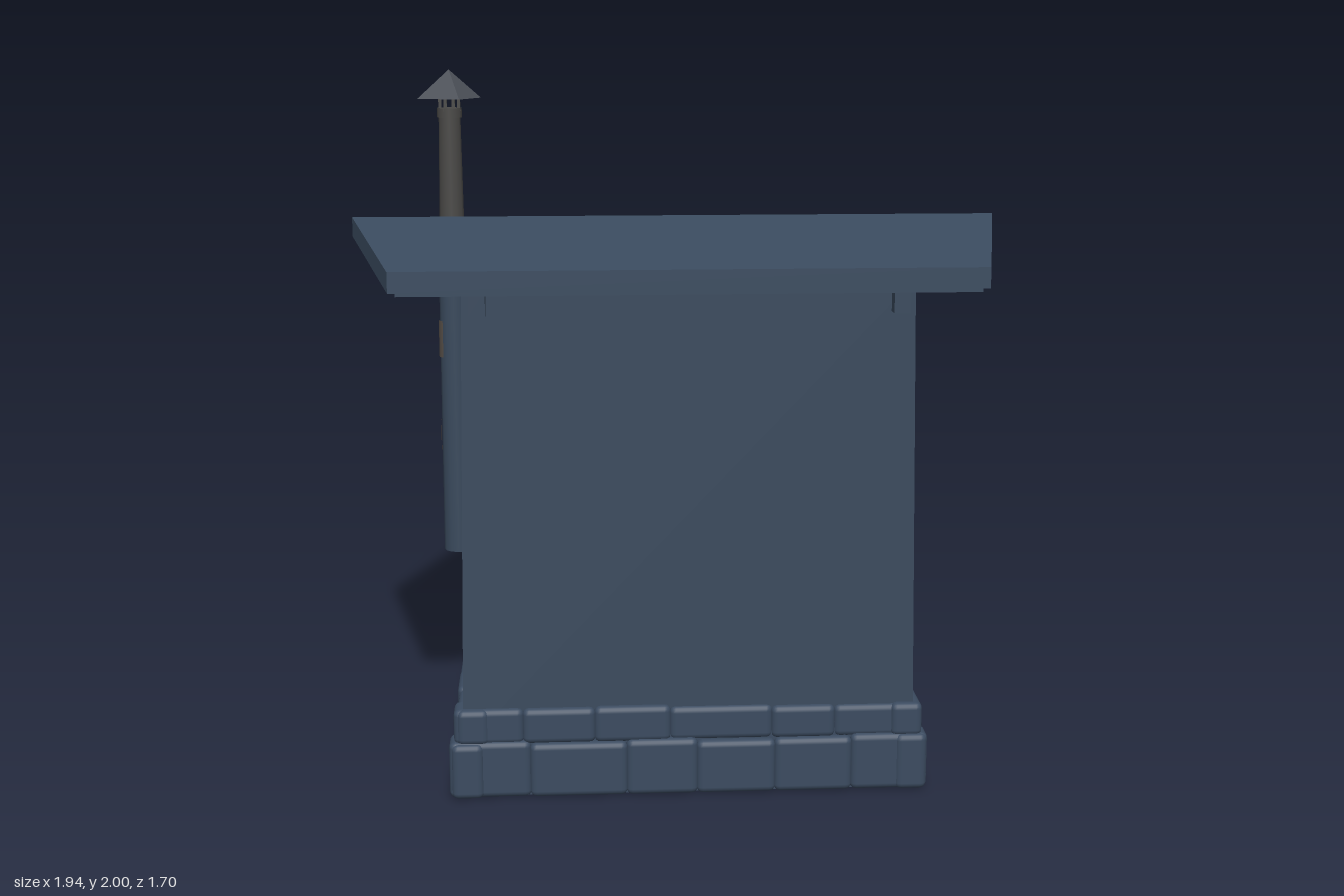
import * as THREE from 'three';
import { RoundedBoxGeometry } from 'three/addons/geometries/RoundedBoxGeometry.js';

const mat = (name, color, side = THREE.FrontSide) => {
  const m = new THREE.MeshStandardMaterial({ color, side });
  m.name = name;
  return m;
};

export function createModel() {
  const model = new THREE.Group();
  model.name = 'shed';

  const M = {
    wall: mat('slate boards', 0x3a4a5d),
    roof: mat('slate roof', 0x3b4c60),
    stone: mat('slate stone', 0x3b4b60),
    gap: mat('dark gap', 0x1d2631),
    patch: mat('worn brown', 0x585049),
    pipe: mat('sooty metal', 0x4a4947, THREE.DoubleSide),
    cap: mat('cap metal', 0x4b4f57, THREE.DoubleSide),
  };

  let seed = 7;
  const rnd = () => (seed = (seed * 16807) % 2147483647) / 2147483647;

  const add = (name, geo, material, x = 0, y = 0, z = 0, parent = model) => {
    const mesh = new THREE.Mesh(geo, material);
    mesh.name = name;
    mesh.position.set(x, y, z);
    parent.add(mesh);
    return mesh;
  };
  const box = (name, m, w, h, d, x, y, z, parent) =>
    add(name, new THREE.BoxGeometry(w, h, d), m, x, y, z, parent);

  // The side walls lean in slightly towards the top
  const wallX = (y) => 0.637 - 0.016 * (y - 0.25);

  // Walls: gable profile with the window opening, extruded across the width
  const profile = new THREE.Shape([
    [0.79, 0.15], [0.775, 1.47], [0.12, 1.54], [-0.725, 1.29], [-0.745, 0.15],
  ].map(([z, y]) => new THREE.Vector2(z, y)));
  const win = { z0: 0.16, z1: 0.46, y0: 0.87, y1: 1.14 };
  const opening = new THREE.Path([
    [win.z0, win.y0], [win.z0, win.y1], [win.z1, win.y1], [win.z1, win.y0],
  ].map(([z, y]) => new THREE.Vector2(z, y)));
  profile.holes.push(opening);
  const walls = new THREE.ExtrudeGeometry(profile, { depth: 2, bevelEnabled: false });
  walls.rotateY(-Math.PI / 2).translate(1, 0, 0);
  const wp = walls.attributes.position;
  for (let i = 0; i < wp.count; i++) wp.setX(i, wp.getX(i) * wallX(wp.getY(i)));
  walls.computeVertexNormals();
  add('walls', walls, M.wall);

  // Windows on both sides: pane, crooked frame and glazing bars
  const zc = (win.z0 + win.z1) / 2, yc = (win.y0 + win.y1) / 2;
  for (const s of [1, -1]) {
    const g = new THREE.Group();
    g.name = s > 0 ? 'leftWindow' : 'rightWindow';
    model.add(g);
    const x = s * wallX(yc);
    box('pane', M.wall, 0.01, 0.29, 0.32, x - s * 0.035, yc, zc, g);
    box('uprightBar', M.wall, 0.018, 0.28, 0.016, x - s * 0.026, yc, zc + 0.01, g);
    for (const e of [1, -1]) {
      box('frameRail', M.wall, 0.024, 0.028, 0.35, x, yc + e * 0.149, zc, g);
      box('frameStile', M.wall, 0.022, 0.31, 0.026, x, yc, zc + e * 0.163, g)
        .rotation.x = e > 0 ? 0 : 0.04;
    }
  }

  // Door with its surround, shadow gap and handle
  const door = new THREE.Group();
  door.name = 'door';
  model.add(door);
  const dx = wallX(0.7);
  box('doorGap', M.gap, 0.012, 1.02, 0.43, dx + 0.004, 0.71, -0.245, door);
  box('doorLeaf', M.wall, 0.03, 0.995, 0.405, dx, 0.71, -0.248, door);
  box('frontJamb', M.wall, 0.03, 1.06, 0.045, dx + 0.003, 0.74, -0.014, door);
  box('backJamb', M.wall, 0.03, 1.06, 0.07, dx + 0.003, 0.74, -0.497, door);
  box('lintel', M.wall, 0.03, 0.05, 0.53, wallX(1.24) + 0.004, 1.245, -0.265, door);
  box('handlePlate', M.gap, 0.008, 0.13, 0.022, dx + 0.017, 0.73, -0.417, door);
  box('handleGrip', M.wall, 0.01, 0.11, 0.014, dx + 0.03, 0.73, -0.417, door);
  for (const y of [0.685, 0.775])
    box('handleMount', M.wall, 0.022, 0.012, 0.014, dx + 0.022, y, -0.417, door);

  // Roof: a slab widest at the ridge, narrowing to both eaves
  const roofTop = (z) => z > 0.12
    ? 1.575 - (z - 0.12) * 0.093
    : 1.575 - (0.12 - z) * 0.294;
  const roofHalf = (z) => z > 0.12
    ? 0.972 - (z - 0.12) * 0.225
    : 0.972 - (0.12 - z) * 0.28;
  const roofGeo = new THREE.BoxGeometry(2, 1, 2, 1, 1, 2);
  const rp = roofGeo.attributes.position;
  for (let i = 0; i < rp.count; i++) {
    const z = [-0.85, 0.12, 0.845][Math.round(rp.getZ(i)) + 1];
    rp.setXYZ(i, rp.getX(i) * roofHalf(z), roofTop(z) - (rp.getY(i) < 0 ? 0.058 : 0), z);
  }
  const roofFlat = roofGeo.toNonIndexed();
  roofFlat.computeVertexNormals();
  add('roof', roofFlat, M.roof);

  // Fascia boards along both eaves
  box('frontFascia', M.roof, 1.58, 0.06, 0.03, 0, 1.469, 0.822);
  box('backFascia', M.roof, 1.39, 0.05, 0.025, 0, 1.255, -0.83);

  // Eave brackets at the four corners
  for (const s of [1, -1]) {
    box('frontBracket', M.wall, 0.045, 0.07, 0.06, s * 0.575, 1.415, 0.79);
    box('backBracket', M.wall, 0.05, 0.06, 0.11, s * 0.575, 1.235, -0.77);
  }

  // Foundation: solid core faced with two courses of uneven stones
  const base = new THREE.Group();
  base.name = 'foundation';
  model.add(base);
  box('core', M.stone, 1.29, 0.2, 1.55, 0, 0.105, 0.02, base);
  const course = (len, y0, height, place) => {
    const n = Math.round(len / 0.21);
    const cuts = [0];
    for (let i = 1; i < n; i++) cuts.push(((i + (rnd() - 0.5) * 0.5) / n) * len);
    cuts.push(len);
    for (let i = 0; i < n; i++) {
      const w = cuts[i + 1] - cuts[i];
      const mid = (cuts[i] + cuts[i + 1]) / 2 - len / 2;
      place(w + 0.004, mid, y0, height(mid) + (rnd() - 0.5) * 0.012, rnd() * 0.008);
    }
  };
  const rows = [
    { y: 0.005, hx: 0.676, zf: 0.822, zb: -0.78, h: 0.16 },
    { y: 0.16, hx: 0.662, zf: 0.81, zb: -0.768, h: 0.1 },
  ];
  for (const r of rows) {
    const t = 0.09, cz = (r.zf + r.zb) / 2;
    const stone = (w, h, d, x, y, z) =>
      add('stone', new RoundedBoxGeometry(w, h, d, 2, 0.018), M.stone, x, y + h / 2, z, base);
    for (const s of [1, -1]) {
      course(r.zf - r.zb, r.y, (m) => (s > 0 && r.y > 0.1 && m + cz < 0 ? 0.055 : r.h),
        (w, m, y, h, j) => stone(t, h, w, s * (r.hx - t / 2 - j), y, m + cz));
      course(2 * r.hx, r.y, () => r.h,
        (w, m, y, h, j) => stone(w, h, t, m, y, s > 0 ? r.zf - t / 2 - j : r.zb + t / 2 + j));
    }
  }

  // Worn patches on the door side: z, y, length, height, tilt
  for (const [z, y, l, h, a] of [[0.195, 0.54, 0.19, 0.055, 0.08], [-0.18, 1.305, 0.2, 0.055, 0.1]])
    box('wallPatch', M.patch, 0.008, h, l, wallX(y) + 0.002, y, z).rotation.x = -a;
  for (const [z, y, l, h, x] of [
    [0.59, 0.065, 0.2, 0.06, 0.673], [0.1, 0.07, 0.06, 0.07, 0.673],
    [-0.56, 0.08, 0.07, 0.09, 0.673], [0.435, 0.185, 0.13, 0.05, 0.659], [0.2, 0.205, 0.05, 0.04, 0.659],
  ]) {
    const disc = new THREE.CylinderGeometry(0.5, 0.5, 0.009, 8);
    disc.rotateZ(Math.PI / 2).scale(1, h * 1.05, l * 1.05);
    add('stonePatch', disc, M.patch, x, y, z);
  }
  // Worn patches on the back wall
  for (const [x, y] of [[0.43, 0.92], [-0.12, 0.4]])
    box('backPatch', M.patch, 0.25, 0.06, 0.008, x, y, -0.745 + (y - 0.15) * 0.0175)
      .rotation.z = 0.06;

  // Stove pipe: slate lower run outside the wall, sooty flue above the roof
  const px = -0.695, pz = -0.26;
  add('lowerPipe', new THREE.CylinderGeometry(0.045, 0.048, 1.0, 12), M.wall, px, 0.93, pz);
  add('flue', new THREE.CylinderGeometry(0.034, 0.041, 0.5, 12), M.pipe, px, 1.63, pz);
  add('flueCollar', new THREE.CylinderGeometry(0.039, 0.039, 0.03, 12), M.pipe, px, 1.865, pz);
  // Rust on the lower pipe, as curved plates: height, length, start angle
  for (const [y, len, a] of [[0.82, 0.1, 3.8], [1.14, 0.12, 4.3], [0.64, 0.14, 3.6]])
    add('pipePatch', new THREE.CylinderGeometry(0.05, 0.05, len, 6, 1, true, a, 1.2),
      M.patch, px, y, pz);
  // Four-sided rain cap on short struts
  const cap = new THREE.ConeGeometry(0.105, 0.09, 4).toNonIndexed();
  cap.computeVertexNormals();
  add('rainCap', cap, M.cap, px, 1.955, pz - 0.005).rotation.y = 0.35;
  for (let i = 0; i < 4; i++) {
    const a = i * Math.PI / 2 + 0.35;
    box('capStrut', M.pipe, 0.01, 0.05, 0.01,
      px + Math.cos(a) * 0.032, 1.895, pz + Math.sin(a) * 0.032);
  }

  return model;
}
